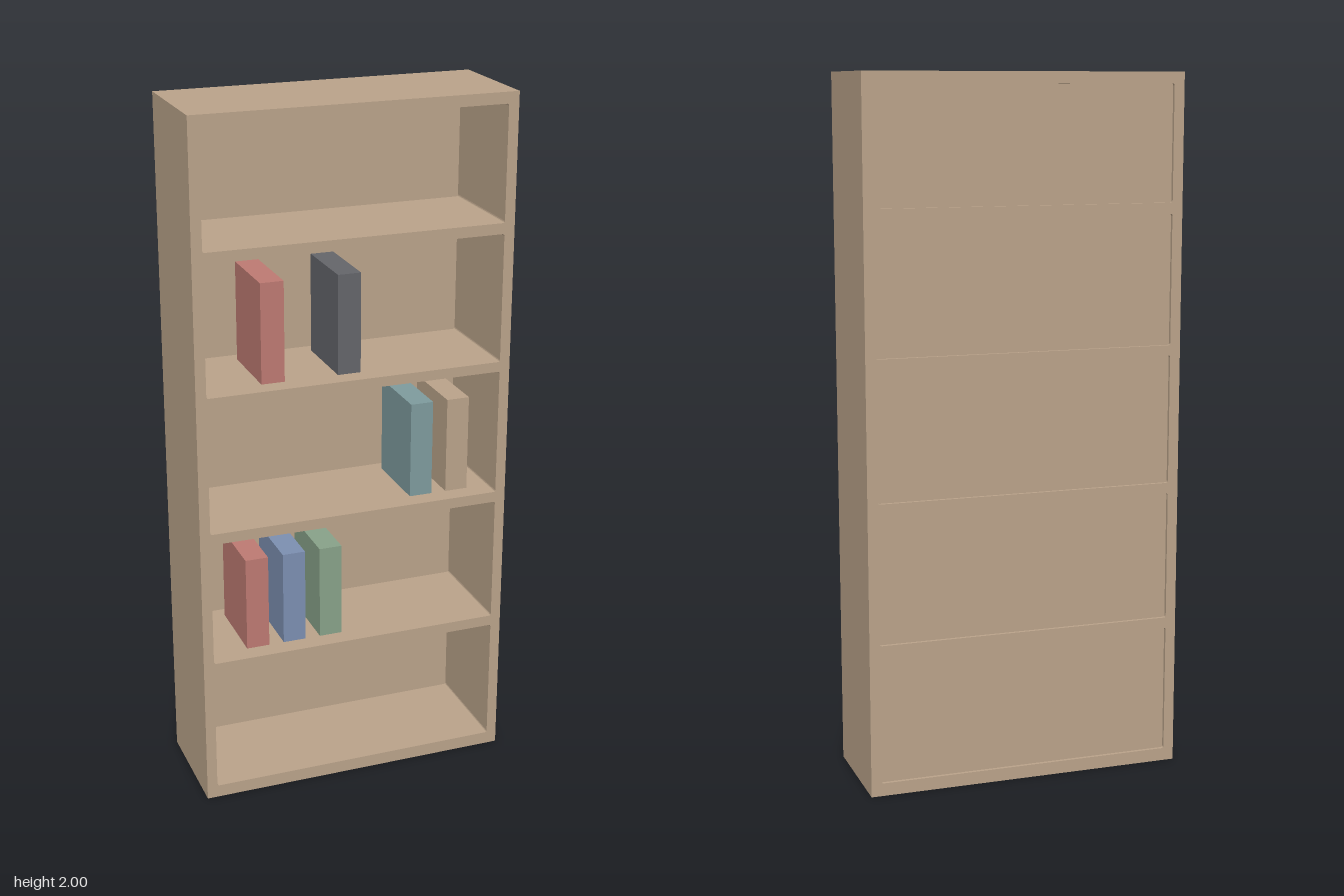
import * as THREE from 'three';

const paint = (name, color) => {
  const m = new THREE.MeshStandardMaterial({ color });
  m.name = name;
  return m;
};

// Rectangle outline with slightly rounded corners
function roundedHole(x0, y0, x1, y1, r) {
  const p = new THREE.Path();
  p.moveTo(x0 + r, y0);
  p.lineTo(x1 - r, y0);
  p.quadraticCurveTo(x1, y0, x1, y0 + r);
  p.lineTo(x1, y1 - r);
  p.quadraticCurveTo(x1, y1, x1 - r, y1);
  p.lineTo(x0 + r, y1);
  p.quadraticCurveTo(x0, y1, x0, y1 - r);
  p.lineTo(x0, y0 + r);
  p.quadraticCurveTo(x0, y0, x0 + r, y0);
  return p;
}

export function createModel() {
  const group = new THREE.Group();
  group.name = 'bookcase';

  const wood = paint('wood', 0xbaa38a);
  const red = paint('red cover', 0xbd7a72);
  const charcoal = paint('charcoal cover', 0x64656a);
  const teal = paint('teal cover', 0x7e9b9d);
  const blue = paint('blue cover', 0x7c8fb1);
  const green = paint('green cover', 0x88a289);

  const W = 0.46, D = 0.167, inner = 0.43;
  const add = (name, geometry, material, x, y, z) => {
    const mesh = new THREE.Mesh(geometry, material);
    mesh.name = name;
    mesh.position.set(x, y, z);
    group.add(mesh);
  };

  // One-piece case: sides, top, bottom and shelves around five openings
  const outline = new THREE.Shape();
  outline.moveTo(-W, 0);
  outline.lineTo(W, 0);
  outline.lineTo(W, 2);
  outline.lineTo(-W, 2);
  outline.closePath();
  const openings = [[0.037, 0.407], [0.438, 0.809], [0.84, 1.21], [1.239, 1.61], [1.641, 1.968]];
  for (const [y0, y1] of openings) outline.holes.push(roundedHole(-inner, y0, inner, y1, 0.006));
  const frame = new THREE.ExtrudeGeometry(outline, { depth: 2 * D, bevelEnabled: false, curveSegments: 3 });
  add('caseAndShelves', frame, wood, 0, 0, -D);

  // Thin back panels, set in slightly from the rear edge
  for (const [y0, y1] of openings) {
    add('backPanel', new THREE.BoxGeometry(2 * inner, y1 - y0, 0.008), wood, 0, (y0 + y1) / 2, -0.153);
  }

  // Books: centre x, bottom, top, cover
  const books = [
    [-0.28, 0.402, 0.717, red],
    [-0.169, 0.402, 0.717, blue],
    [-0.058, 0.402, 0.717, green],
    [0.219, 0.82, 1.122, teal],
    [0.33, 0.82, 1.122, wood],
    [-0.224, 1.22, 1.526, red],
    [-0.002, 1.22, 1.526, charcoal],
  ];
  for (const [x, y0, y1, cover] of books) {
    add('book', new THREE.BoxGeometry(0.067, y1 - y0, 0.222), cover, x, (y0 + y1) / 2, 0);
  }

  return group;
}
